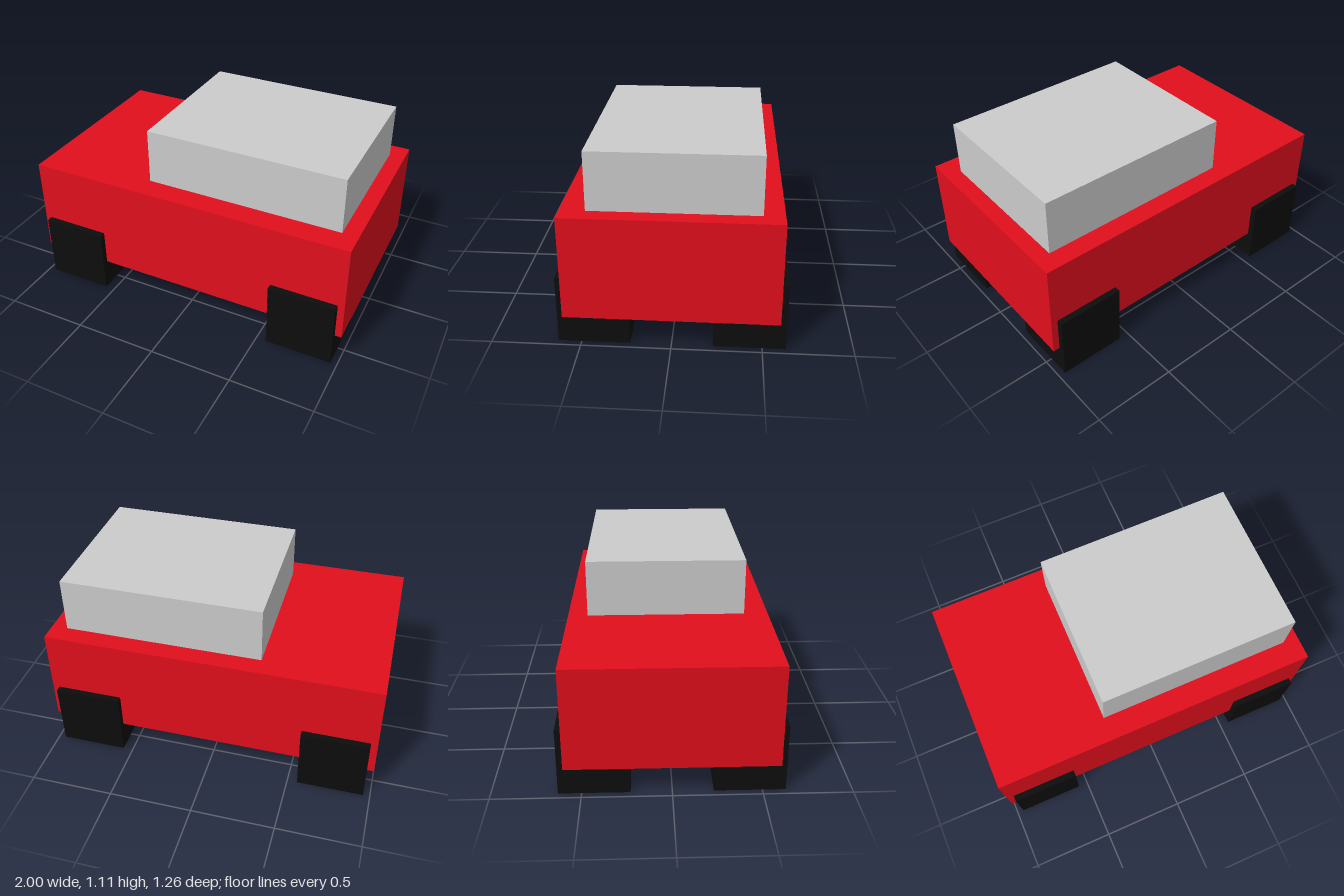
import * as THREE from 'three';

const paint = (color) => new THREE.MeshStandardMaterial({ color });

// Box given by its minimum and maximum corners
function block(name, min, max, material) {
  const size = max.map((v, i) => v - min[i]);
  const mesh = new THREE.Mesh(new THREE.BoxGeometry(...size), material);
  mesh.position.set(...min.map((v, i) => (v + max[i]) / 2));
  mesh.name = name;
  return mesh;
}

export function createModel() {
  const car = new THREE.Group();
  car.name = 'blockCar';
  const red = paint(0xe00f1c);
  const black = paint(0x0d0d0d);
  const grey = paint(0xcccccc);

  // Body and the cabin set towards one end
  car.add(block('body', [-1, 0.18, -0.593], [1, 0.78, 0.593], red));
  car.add(block('cabin', [-0.287, 0.78, -0.478], [0.905, 1.113, 0.452], grey));

  // Four cube wheels, standing slightly proud of the body sides
  const wheel = 0.4;
  for (const x of [-0.76, 0.76]) {
    for (const z of [-0.43, 0.43]) {
      const name = (z > 0 ? 'front' : 'back') + (x > 0 ? 'Left' : 'Right') + 'Wheel';
      const h = wheel / 2;
      car.add(block(name, [x - h, 0, z - h], [x + h, wheel, z + h], black));
    }
  }
  return car;
}
